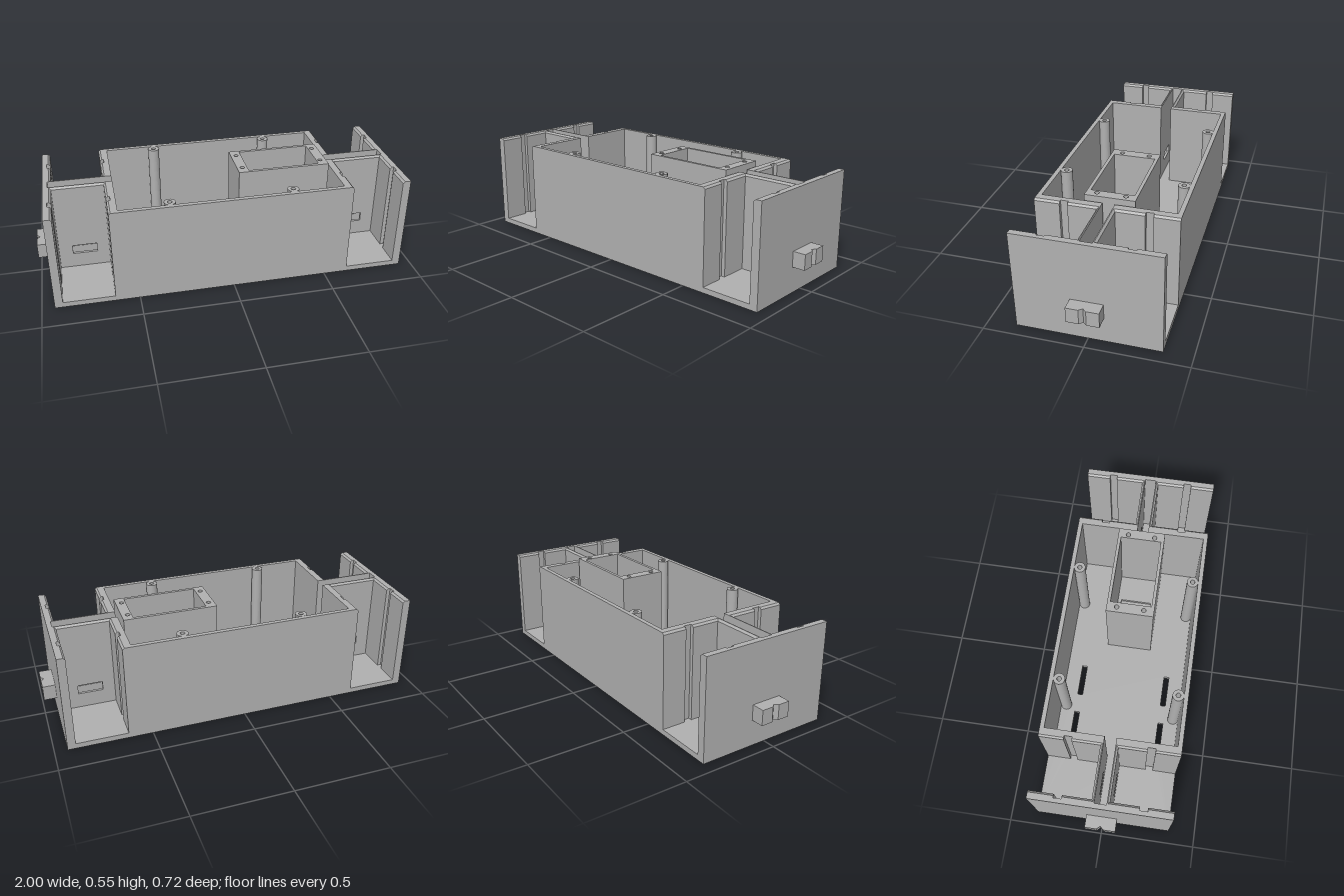
import * as THREE from 'three';

const FLOOR = 0.028, TOP = 0.52, BEVEL = 0.01;

export function createModel() {
  const model = new THREE.Group();
  model.name = 'chassis';
  const grey = new THREE.MeshStandardMaterial({ color: 0xb0b0b0 });
  grey.name = 'plain grey';

  const add = (name, geometry, parent = model) => {
    const mesh = new THREE.Mesh(geometry, grey);
    mesh.name = name;
    parent.add(mesh);
    return mesh;
  };

  // Rectangle and circle helpers for plans and holes
  const rect = (x0, x1, y0, y1) => new THREE.Shape(
    [[x0, y0], [x1, y0], [x1, y1], [x0, y1]].map(p => new THREE.Vector2(...p)));
  const circle = (x, y, r) => new THREE.Shape().absarc(x, y, r, 0, Math.PI * 2);

  // Upright extrusion of a plan drawn in x and z
  const slab = (shape, holes, y0, y1) => {
    shape.holes = holes;
    return new THREE.ExtrudeGeometry(shape, { depth: y1 - y0, bevelEnabled: false, curveSegments: 16 })
      .rotateX(Math.PI / 2).translate(0, y1, 0);
  };

  // Upright wall whose top edge is bevelled where the rim rule moves the plan
  const wall = (plan, rim, y0 = FLOOR) => {
    const pts = plan.map(p => new THREE.Vector2(...p));
    if (THREE.ShapeUtils.isClockWise(pts)) pts.reverse();
    const top = pts.map(p => new THREE.Vector2(...rim(p.x, p.y)));
    const rings = [[pts, y0], [pts, TOP - BEVEL], [top, TOP]];
    const pos = [];
    const put = ([ring, y], i) => pos.push(ring[i].x, y, ring[i].y);
    for (let k = 0; k < 2; k++) {
      const a = rings[k], b = rings[k + 1];
      if (a[1] >= b[1]) continue;
      pts.forEach((_, i) => {
        const j = (i + 1) % pts.length;
        put(a, i); put(b, i); put(b, j);
        put(a, i); put(b, j); put(a, j);
      });
    }
    for (const [a, b, c] of THREE.ShapeUtils.triangulateShape(top, [])) {
      put(rings[2], a); put(rings[2], c); put(rings[2], b);
    }
    const g = new THREE.BufferGeometry();
    g.setAttribute('position', new THREE.Float32BufferAttribute(pos, 3));
    g.computeVertexNormals();
    return g;
  };

  // Floor with four strap slots
  const slots = [];
  for (const z of [-0.24, 0.24])
    for (const x of [-0.441, -0.164]) slots.push(rect(x - 0.087, x + 0.087, z - 0.014, z + 0.014));
  add('floor', slab(rect(-0.935, 0.935, -0.358, 0.358), slots, 0, FLOOR));

  // Main compartment wall, one quarter, with a groove facing the wheel bay
  const compartmentWall = wall(
    [[0, 0.335], [0, 0.358], [0.626, 0.358], [0.626, 0.23], [0.606, 0.23], [0.606, 0.19],
      [0.626, 0.19], [0.626, 0.03], [0.58, 0.03], [0.58, 0.335]],
    (x, z) => [x === 0.626 ? x - BEVEL : x, z]);

  // End wall, one quarter, with a matching groove
  const endWall = wall(
    [[0.893, 0.358], [0.935, 0.358], [0.935, 0], [0.91, 0], [0.91, 0.03], [0.893, 0.03],
      [0.893, 0.19], [0.913, 0.19], [0.913, 0.23], [0.893, 0.23]],
    (x, z) => [x === 0.893 ? x + BEVEL : x, z]);

  // Centre channel wall with a window for the axle, and its bevelled rim
  const side = rect(0.626, 0.893, FLOOR, TOP - BEVEL);
  side.holes = [rect(0.69, 0.82, 0.11, 0.16)];
  const channelWall = new THREE.ExtrudeGeometry(side, { depth: 0.015, bevelEnabled: false })
    .translate(0, 0, 0.03);
  const channelRim = wall(
    [[0.616, 0.03], [0.903, 0.03], [0.903, 0.045], [0.616, 0.045]],
    (x, z) => [x, z > 0.04 ? z - BEVEL : z], TOP - BEVEL);

  // Screw post
  const post = slab(circle(0, 0, 0.03), [circle(0, 0, 0.012)], FLOOR, TOP);

  // Everything that repeats in the four quarters
  for (const sx of [1, -1]) {
    for (const sz of [1, -1]) {
      const quarter = new THREE.Group();
      quarter.name = `${sz > 0 ? 'front' : 'back'}${sx > 0 ? 'Left' : 'Right'}Quarter`;
      quarter.scale.set(sx, 1, sz);
      add('compartmentWall', compartmentWall, quarter);
      add('endWall', endWall, quarter);
      add('channelWall', channelWall, quarter);
      add('channelRim', channelRim, quarter);
      model.add(quarter);
      add('screwPost', post).position.set(sx > 0 ? 0.315 : -0.32, 0, sz * 0.306);
    }
    // Coupling block with a V notch
    const hitch = new THREE.Shape([[0.93, -0.08], [1, -0.08], [1, -0.018], [0.984, 0], [1, 0.018],
      [1, 0.08], [0.93, 0.08]].map(p => new THREE.Vector2(...p)));
    add('couplingBlock', slab(hitch, [], 0.133, 0.212)).scale.x = sx;
  }

  // Inner box with screw holes in its rim
  const boxPlan = () => rect(0.075, 0.567, -0.127, 0.125);
  const opening = () => rect(0.13, 0.515, -0.11, 0.108);
  const screws = [];
  for (const x of [0.104, 0.535]) for (const z of [-0.073, 0.071]) screws.push(circle(x, z, 0.012));
  add('boxWalls', slab(boxPlan(), [opening()], FLOOR, 0.44));
  add('boxRim', slab(boxPlan(), [opening(), ...screws], 0.44, 0.545));
  add('boxBottom', slab(opening(), [rect(0.24, 0.365, -0.09, 0.087)], FLOOR, 0.045));

  return model;
}
